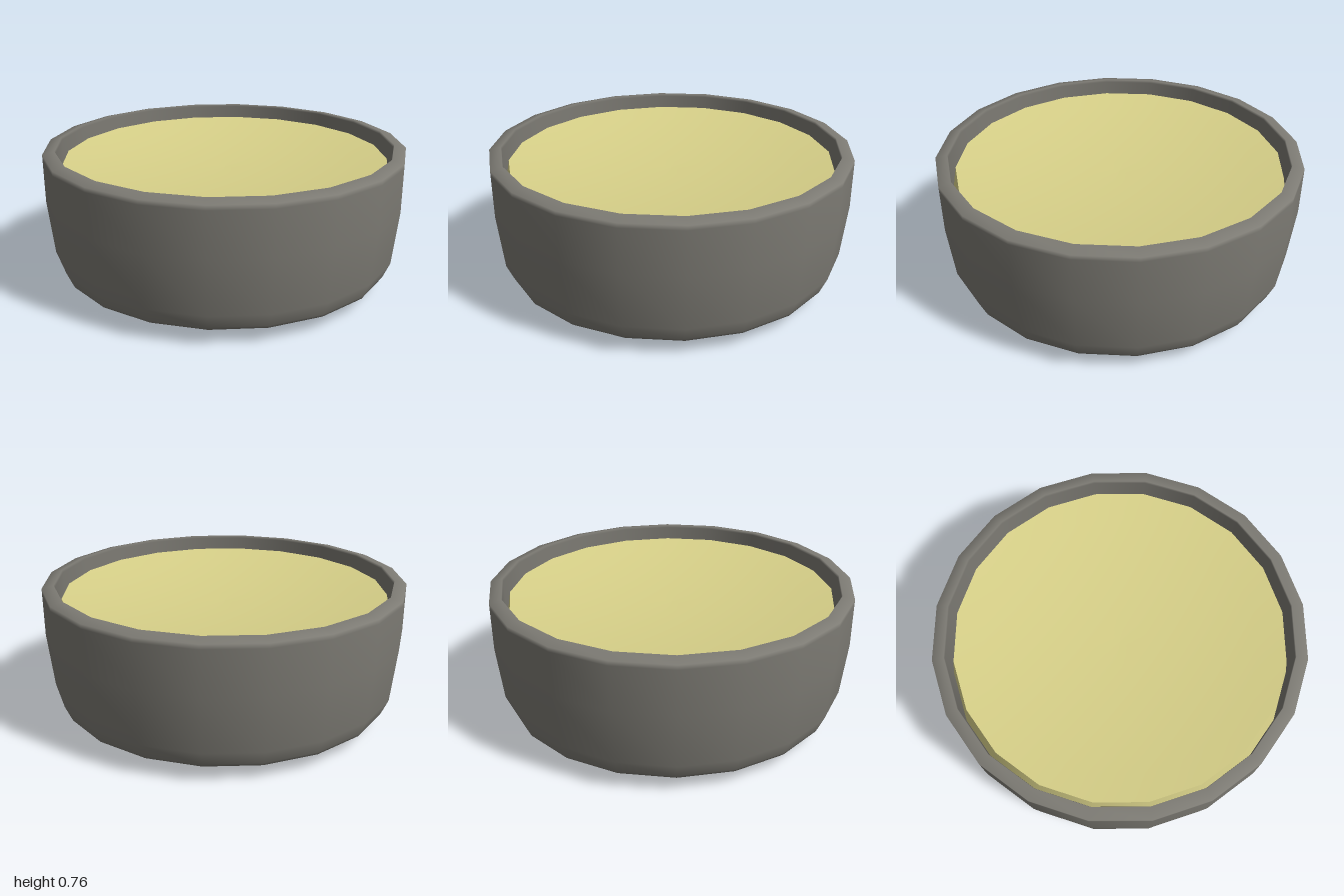
import * as THREE from 'three';

const SIDES = 20;

// Revolved surface; each profile gets its own smooth normals, so joins between profiles stay sharp
function revolve(name, profile, material) {
  const points = profile.map(([r, y]) => new THREE.Vector2(r, y));
  const mesh = new THREE.Mesh(new THREE.LatheGeometry(points, SIDES), material);
  mesh.name = name;
  return mesh;
}

// Shallow parabolic dish profile from the edge to the lowest point in the middle
function dish(radius, y, depth, steps = 6) {
  return Array.from({ length: steps + 1 }, (_, i) => {
    const t = 1 - i / steps;
    return [radius * t, y - depth * (1 - t * t)];
  });
}

export function createModel() {
  const shell = new THREE.MeshStandardMaterial({ color: 0x7d7b74 });
  const filling = new THREE.MeshStandardMaterial({ color: 0xd8d189 });

  // Bowl: slightly recessed base, rounded outside, soft lip and straight inside wall
  const bowl = new THREE.Group();
  bowl.name = 'bowl';
  bowl.add(
    revolve('base', [[0, 0.02], [0.7, 0]], shell),
    revolve('outerWall', [
      [0.7, 0], [0.93, 0.088], [0.937, 0.103], [0.97, 0.18], [1, 0.48], [1, 0.72],
      [1, 0.745], [0.935, 0.76], [0.932, 0.745], [0.932, 0.5],
    ], shell),
  );

  // Contents: gently dished top with a steep skirt running down into the wall
  const contents = new THREE.Group();
  contents.name = 'contents';
  contents.add(
    revolve('contentsSkirt', [[0.935, 0.5], [0.9, 0.68]], filling),
    revolve('contentsTop', dish(0.9, 0.68, 0.07), filling),
  );

  const model = new THREE.Group();
  model.name = 'filledBowl';
  model.add(bowl, contents);
  return model;
}
